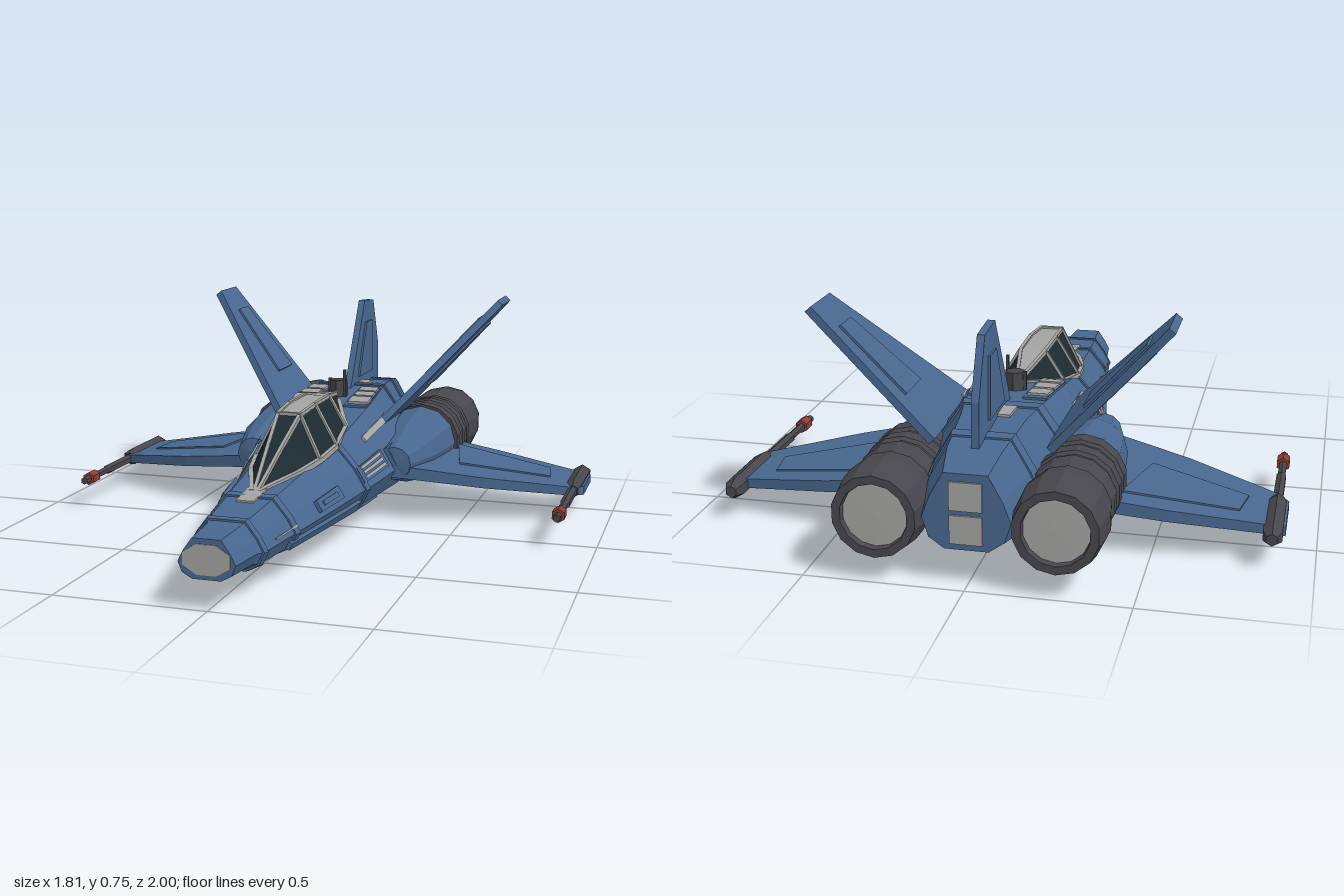
import * as THREE from 'three';

const mat = (name, color) => {
  const m = new THREE.MeshStandardMaterial({ color });
  m.name = name;
  return m;
};
const V = (x, y, z) => new THREE.Vector3(x, y, z);
const { lerp } = THREE.MathUtils;

// Faceted copy of a geometry
function flat(geo) {
  const g = geo.index ? geo.toNonIndexed() : geo;
  g.computeVertexNormals();
  return g;
}

// Move every vertex by a rule
function warp(geo, rule) {
  const p = geo.attributes.position;
  for (let i = 0; i < p.count; i++) p.setXYZ(i, ...rule(p.getX(i), p.getY(i), p.getZ(i)));
  return flat(geo);
}

// Mirror across x = 0, keeping faces outward
function mirrored(geo) {
  const g = geo.clone(), s = geo.attributes.position, p = g.attributes.position;
  for (let i = 0; i < p.count; i++) {
    const j = i - (i % 3) + [0, 2, 1][i % 3];
    p.setXYZ(i, -s.getX(j), s.getY(j), s.getZ(j));
  }
  return flat(g);
}

// Skin between rings of points that run left-over-top-to-right, front to back
function loft(rings, { closed = true, caps = true, use = () => true } = {}) {
  const out = [], tri = (...v) => v.forEach(q => out.push(q.x, q.y, q.z));
  const n = rings[0].length, edges = closed ? n : n - 1;
  for (let j = 0; j < rings.length - 1; j++) for (let i = 0; i < edges; i++) {
    if (!use(i, j)) continue;
    const k = (i + 1) % n, [A, B] = [rings[j], rings[j + 1]];
    tri(A[i], A[k], B[k], A[i], B[k], B[i]);
  }
  if (closed && caps) {
    const F = rings[0], R = rings[rings.length - 1];
    for (let i = 1; i < n - 1; i++) { tri(F[0], F[i + 1], F[i]); tri(R[0], R[i], R[i + 1]); }
  }
  const g = new THREE.BufferGeometry();
  g.setAttribute('position', new THREE.Float32BufferAttribute(out, 3));
  return flat(g);
}

// Turned part along z; profile of [radius, z] from front to back
function spin(profile, x, y, sides) {
  const g = new THREE.LatheGeometry(profile.map(([r, z]) => new THREE.Vector2(r, -z)), sides);
  return flat(g.rotateX(-Math.PI / 2).translate(x, y, 0));
}

// Straight square bar between two points
function bar(p, q, w) {
  const g = new THREE.BoxGeometry(w, w, p.distanceTo(q) + w * 0.5);
  const m = new THREE.Object3D();
  m.position.copy(p).lerp(q, 0.5);
  m.lookAt(q);
  m.updateMatrix();
  return flat(g.applyMatrix4(m.matrix));
}

// Flat outline given thickness, then placed by a rule
function slab(points, rule) {
  const s = new THREE.Shape(points.map(p => new THREE.Vector2(...p)));
  const g = new THREE.ExtrudeGeometry(s, { depth: 1, bevelEnabled: false }).translate(0, 0, -0.5);
  return warp(g, rule);
}
const wingSlab = (pts, t) => slab(pts.map(([x, z]) => [x, -z]),
  (x, v, d) => [x, 0.19 - (x - 0.28) * 0.135 + d * t * (1.25 - 0.55 * x), -v]);
const finSlab = (pts, t, x0, y0, slope) => {
  const l = Math.hypot(1, slope);
  return slab(pts.map(([z, y]) => [-z, y]),
    (u, y, d) => [x0 + (y - y0) * slope + d * t / l, y - d * t * slope / l, -u]);
};

// Fuselage stations: z, half width, bottom, top
const STATIONS = [
  [1, 0.09, 0.105, 0.228], [0.86, 0.105, 0.1, 0.233], [0.83, 0.12, 0.092, 0.24],
  [0.6, 0.155, 0.088, 0.265], [0.3, 0.2, 0.08, 0.3], [0, 0.25, 0.075, 0.35],
  [-0.25, 0.295, 0.075, 0.41], [-0.5, 0.25, 0.08, 0.425], [-0.62, 0.21, 0.09, 0.42],
  [-0.85, 0.17, 0.11, 0.4], [-0.965, 0.135, 0.125, 0.365],
];
function ring(z, e = 0) {
  let j = 0;
  while (j < STATIONS.length - 2 && STATIONS[j + 1][0] > z) j++;
  const [a, b] = [STATIONS[j], STATIONS[j + 1]], f = (z - a[0]) / (b[0] - a[0]);
  const w = lerp(a[1], b[1], f) + e, lo = lerp(a[2], b[2], f) - e, hi = lerp(a[3], b[3], f) + e;
  const half = [[0.5, 1], [0.82, 0.67], [1, 0.4], [0.85, 0.14], [0.5, 0]]
    .map(([u, v]) => V(u * w, lerp(lo, hi, v), z));
  return [V(-half[0].x, half[0].y, z), ...half,
    ...half.slice(1).reverse().map(p => V(-p.x, p.y, z))];
}
// Raised plate lying on fuselage facet k
function skin(k, z0, z1, f0, f1, lift) {
  const g = new THREE.BoxGeometry(1, 1, 1, 1, 1, 4);
  return warp(g, (x, y, z) => {
    const R = ring(lerp(z0, z1, 0.5 - z)), p = R[k], q = R[(k + 1) % 10];
    const o = p.clone().lerp(q, lerp(f0, f1, x + 0.5));
    const n = V(p.y - q.y, q.x - p.x, 0).normalize();
    return o.addScaledVector(n, y > 0 ? lift : -0.005).toArray();
  });
}

export function createModel() {
  const model = new THREE.Group();
  const blue = mat('hullBlue', 0x48678f), dark = mat('engineGrey', 0x47464c);
  const grey = mat('panelGrey', 0xa3a3a1), glass = mat('canopyGlass', 0x1d2b30);
  const red = mat('muzzleRed', 0x8c3b36);
  const add = (name, geo, m) => {
    const mesh = new THREE.Mesh(geo, m);
    mesh.name = name;
    model.add(mesh);
  };
  const pair = (name, geo, m) => {
    add(name + 'Left', geo, m);
    add(name + 'Right', mirrored(geo), m);
  };

  // Fuselage with raised collars
  add('fuselage', loft(STATIONS.map(s => ring(s[0]))), blue);
  [[0.84, 0.82], [0.64, 0.61], [0.12, 0.09], [-0.5, -0.54], [-0.74, -0.78]].forEach(([a, b]) =>
    add('hullCollar', loft([ring(a, 0.006), ring(b, 0.006)]), blue));
  const lens = new THREE.CylinderGeometry(1, 1, 0.006, 8).rotateY(Math.PI / 8).rotateX(Math.PI / 2);
  add('noseLens', flat(lens.scale(0.08, 0.05, 1).translate(0, 0.165, 1)), grey);

  // Plates on the hull
  add('nosePanel', skin(0, 0.68, 0.565, 0.3, 0.7, 0.006), grey);
  add('sternPanel', skin(0, -0.54, -0.62, 0.26, 0.74, 0.008), grey);
  for (let i = 0; i < 3; i++) {
    const z = -0.215 - i * 0.075;
    pair('dorsalVent', skin(0, z, z - 0.06, 0.74, 0.99, 0.016), grey);
    pair('sideLouvre', skin(2, 0.09, -0.07, 0.05 + i * 0.22, 0.18 + i * 0.22, 0.012), grey);
  }
  pair('dorsalVentBase', skin(0, -0.2, -0.45, 0.7, 1, 0.008), blue);
  pair('louvreBase', skin(2, 0.11, -0.09, 0, 0.72, 0.007), blue);
  pair('shoulderStrip', skin(1, -0.05, -0.3, 0.42, 0.6, 0.008), grey);
  pair('shoulderBlock', skin(2, -0.12, -0.3, 0.1, 0.9, 0.014), blue);
  pair('sidePanel', skin(2, 0.45, 0.28, 0.1, 0.75, 0.012), blue);
  pair('sidePanelInset', skin(2, 0.42, 0.31, 0.3, 0.55, 0.016), blue);
  pair('noseStripe', skin(2, 0.75, 0.6, 0.6, 0.7, 0.005), grey);
  pair('lowerStrake', skin(3, 0.66, 0.14, 0.45, 0.95, 0.013), blue);
  pair('lowerPanel', skin(4, 0.08, -0.1, 0.2, 0.8, 0.01), blue);
  pair('bellyPanel', skin(4, 0.5, 0.4, 0.25, 0.8, 0.006), grey);
  pair('bellyLouvre', skin(4, 0.06, -0.08, 0.35, 0.6, 0.014), grey);
  [0.19, 0.295].forEach(y =>
    add('tailPlate', flat(new THREE.BoxGeometry(0.1, 0.09, 0.01).translate(0, y, -0.967)), grey));

  // Canopy: z, base half width, base height, roof half width, roof height
  const cab = [
    [0.58, 0.012, 0.265, 0.006, 0.27], [0.4, 0.08, 0.29, 0.024, 0.375], [0.26, 0.11, 0.305, 0.038, 0.452],
    [0.12, 0.125, 0.325, 0.045, 0.463], [-0.05, 0.108, 0.355, 0.043, 0.463], [-0.25, 0.022, 0.41, 0.01, 0.435],
  ].map(([z, b, yb, t, yt]) => [V(-b, yb, z), V(-t, yt, z - 0.01), V(t, yt, z - 0.01), V(b, yb, z)]);
  const roof = (i, j) => i === 1 && j >= 2;
  add('canopyGlass', loft(cab, { closed: false, use: (i, j) => !roof(i, j) }), glass);
  add('canopyRoof', loft(cab, { closed: false, use: roof }), grey);
  for (let j = 0; j < cab.length - 1; j++) {
    pair('canopySill', bar(cab[j][3], cab[j + 1][3], 0.018), grey);
    pair('canopyRail', bar(cab[j][2], cab[j + 1][2], 0.012), grey);
  }
  [2, 3, 4].forEach(j => pair('canopyPost', bar(cab[j][3], cab[j][2], 0.014), grey));
  add('windscreenBow', bar(cab[2][1], cab[2][2], 0.014), grey);

  // Wings with raised panels
  pair('wing', wingSlab([[0.2, -0.1], [0.57, -0.21], [0.87, -0.345], [0.905, -0.39],
    [0.905, -0.59], [0.55, -0.66], [0.2, -0.7]], 0.04), blue);
  pair('wingPanel', wingSlab([[0.46, -0.33], [0.78, -0.42], [0.76, -0.545], [0.4, -0.6]], 0.053), blue);

  // Canted fins, centre fin and keel
  pair('cantedFin', finSlab([[-0.22, 0.34], [-0.545, 0.755], [-0.713, 0.755], [-0.67, 0.34]],
    0.026, 0.2, 0.355, 0.89), blue);
  pair('cantedFinPanel', finSlab([[-0.47, 0.46], [-0.56, 0.68], [-0.655, 0.68], [-0.62, 0.46]],
    0.042, 0.2, 0.355, 0.89), blue);
  add('centreFin', finSlab([[-0.43, 0.39], [-0.64, 0.735], [-0.765, 0.725], [-0.845, 0.54], [-0.85, 0.38]],
    0.024, 0, 0, 0), blue);
  add('centreFinPanel', finSlab([[-0.55, 0.45], [-0.65, 0.65], [-0.73, 0.65], [-0.74, 0.45]],
    0.038, 0, 0, 0), blue);
  add('keel', finSlab([[0.12, 0.08], [-0.08, 0.01], [-0.46, 0.01], [-0.58, 0.1]], 0.055, 0, 0, 0), blue);

  // Engines: blue fairing, ribbed casing, nozzle and exhaust
  pair('engineFairing', spin([[0, -0.12], [0.06, -0.13], [0.11, -0.32], [0.132, -0.52], [0.132, -0.57]],
    0.265, 0.218, 12), blue);
  pair('engineCasing', spin([[0, -0.54], [0.137, -0.545], [0.137, -0.6], [0.128, -0.61], [0.128, -0.63],
    [0.138, -0.64], [0.138, -0.69], [0.128, -0.7], [0.128, -0.715], [0.136, -0.725], [0.136, -0.76],
    [0.12, -0.785], [0.135, -0.81], [0.143, -0.87], [0.14, -0.94], [0.13, -1], [0.104, -1], [0.1, -0.975]],
  0.272, 0.22, 14), dark);
  pair('exhaust', spin([[0.103, -0.98], [0, -0.982]], 0.272, 0.22, 14), grey);

  // Wingtip guns
  pair('gunBody', spin([[0, -0.35], [0.022, -0.355], [0.034, -0.4], [0.034, -0.64], [0.02, -0.672], [0, -0.672]],
    0.868, 0.11, 6), dark);
  pair('gunBarrel', spin([[0, 0.04], [0.014, 0.04], [0.014, -0.15], [0.018, -0.16], [0.018, -0.36]],
    0.868, 0.11, 6), dark);
  pair('gunMuzzle', spin([[0, 0.006], [0.024, 0.005], [0.024, -0.05], [0, -0.051]], 0.868, 0.11, 6), red);

  // Dorsal turret, aerials and belly rods
  add('turret', flat(new THREE.CylinderGeometry(0.032, 0.036, 0.06, 6).translate(0, 0.445, -0.33)), dark);
  add('aerial', bar(V(0.032, 0.42, -0.3), V(0.032, 0.515, -0.3), 0.01), dark);
  add('shortAerial', bar(V(-0.035, 0.42, -0.34), V(-0.035, 0.475, -0.34), 0.012), dark);
  pair('bellyRod', spin([[0, -0.26], [0.009, -0.26], [0.009, -0.38], [0.016, -0.39], [0.016, -0.46], [0, -0.46]],
    0.11, 0.07, 8), dark);
  return model;
}
